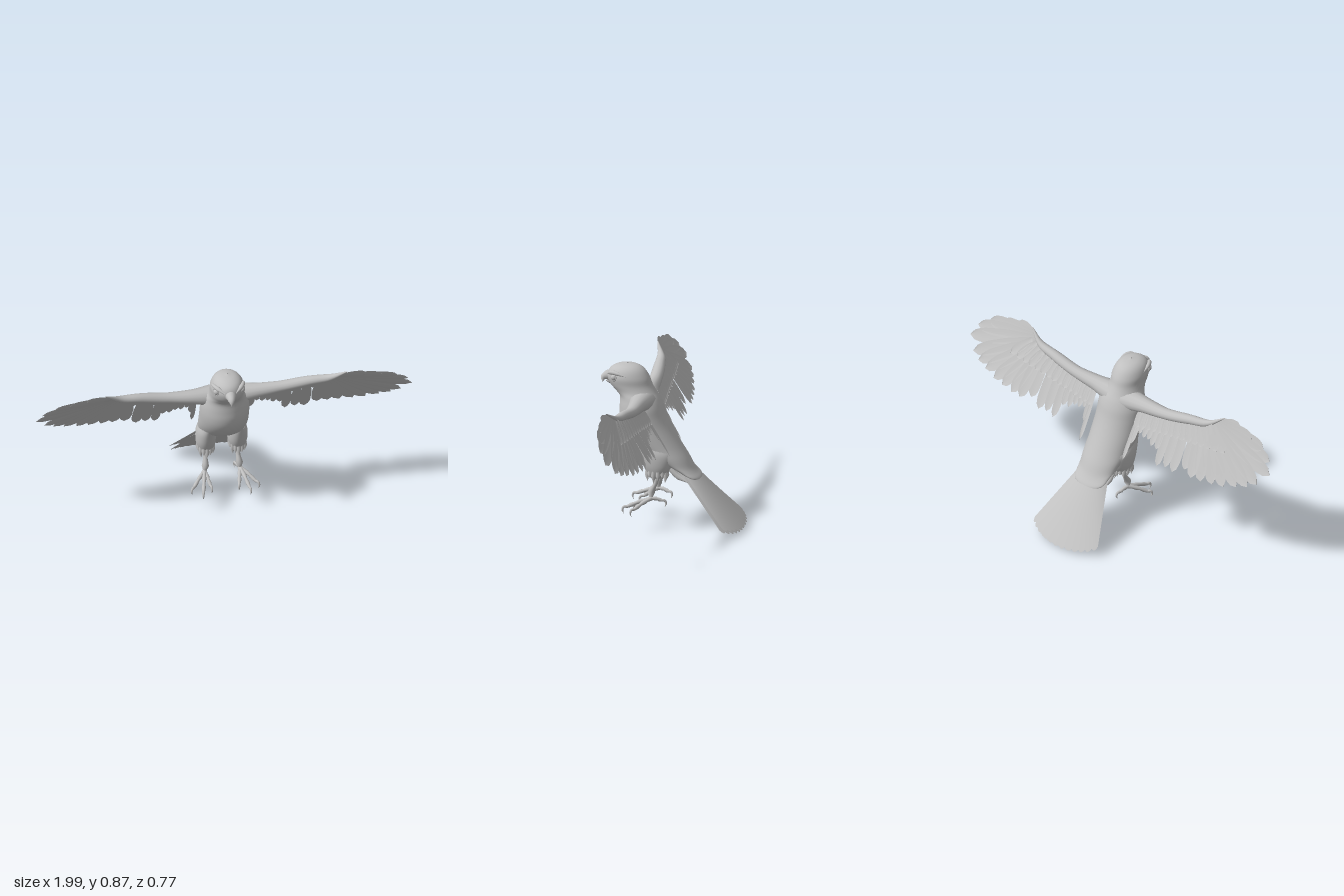
import * as THREE from 'three';

const plumage = new THREE.MeshStandardMaterial({ color: 0xc0c0c0, side: THREE.DoubleSide });
plumage.name = 'plain grey';
const V = (x, y, z) => new THREE.Vector3(x, y, z);

function add(parent, name, geometry) {
  const mesh = new THREE.Mesh(geometry, plumage);
  mesh.name = name;
  parent.add(mesh);
  return mesh;
}

// Grid of points; wrap closes it sideways into a smooth skin
function grid(nu, nv, fn, wrap = false) {
  const pos = [], idx = [], cols = wrap ? nu : nu + 1;
  for (let i = 0; i <= nv; i++)
    for (let j = 0; j < cols; j++) pos.push(...fn(j / nu, i / nv));
  for (let i = 0; i < nv; i++)
    for (let j = 0; j < nu; j++) {
      const k = (j + 1) % cols, a = i * cols + j, b = i * cols + k, c = a + cols, d = b + cols;
      idx.push(a, c, b, b, c, d);
    }
  const g = new THREE.BufferGeometry();
  g.setAttribute('position', new THREE.Float32BufferAttribute(pos, 3));
  g.setIndex(idx);
  g.computeVertexNormals();
  return g;
}

// Skin over oval sections: [frontZ, frontY, backZ, backY, halfWidth]
function loft(sections, cx = 0) {
  const curve = (a, b) => new THREE.CatmullRomCurve3(
    sections.map(s => V(s[4], s[b], s[a])), false, 'catmullrom', 0.5);
  const front = curve(0, 1), back = curve(2, 3);
  return grid(40, sections.length * 4, (u, v) => {
    const f = front.getPoint(v), b = back.getPoint(v), a = u * Math.PI * 2;
    const k = (1 + Math.cos(a)) / 2;
    return [cx + f.x * Math.sin(a), b.y + (f.y - b.y) * k, b.z + (f.z - b.z) * k];
  }, true);
}

// Tube whose radius follows the list; depth stretches it along z
function taper(points, radii, depth = 1, seg = 20, sides = 14) {
  const curve = new THREE.CatmullRomCurve3(points.map(p => V(...p)));
  const g = new THREE.TubeGeometry(curve, seg, 1, sides);
  const pos = g.attributes.position, p = V(0, 0, 0), q = V(0, 0, 0);
  for (let i = 0; i <= seg; i++) {
    curve.getPointAt(i / seg, q);
    const t = i / seg * (radii.length - 1), n = Math.min(Math.floor(t), radii.length - 2);
    const r = THREE.MathUtils.lerp(radii[n], radii[n + 1], t - n);
    for (let j = 0; j <= sides; j++) {
      const id = i * (sides + 1) + j;
      p.fromBufferAttribute(pos, id).sub(q).multiplyScalar(r);
      p.z *= depth;
      p.add(q);
      pos.setXYZ(id, p.x, p.y, p.z);
    }
  }
  return g;
}

// The spread wing leans back as it drops
const wingZ = (x, y) => 0.19 - 0.6 * (0.73 - y) + 0.03 * Math.max(0, x - 0.6) / 0.4;

function feather(s, [rx, ry], [tx, ty], width, layer) {
  const len = Math.hypot(tx - rx, ty - ry), nx = -(ty - ry) / len, ny = (tx - rx) / len;
  return grid(4, 14, (u, v) => {
    const e = u * 2 - 1, end = Math.max(0, (v - 0.72) / 0.28);
    const w = width * Math.min(1, 0.55 + v) * Math.sqrt(Math.max(0, 1 - end * end)) * e;
    const x = rx + (tx - rx) * v + nx * w, y = ry + (ty - ry) * v + ny * w;
    return [s * x, y, wingZ(x, y) + layer - 0.003 * e * e];
  });
}

function makeWing(s) {
  const wing = new THREE.Group();
  wing.name = s > 0 ? 'leftWing' : 'rightWing';
  add(wing, 'wingArm', taper(
    [[s * 0.04, 0.685, 0.155], [s * 0.15, 0.688, 0.16], [s * 0.3, 0.698, 0.16], [s * 0.45, 0.724, 0.172],
      [s * 0.56, 0.742, 0.188], [s * 0.64, 0.79, 0.222]],
    [0.055, 0.036, 0.027, 0.025, 0.019, 0.002], 1.3, 32));

  // Long fingers, from the leading edge round to the wrist
  const primaries = [[0.74, 0.762], [0.83, 0.742], [0.91, 0.725], [0.97, 0.682], [0.997, 0.625], [0.945, 0.566],
    [0.895, 0.54], [0.835, 0.522], [0.765, 0.502], [0.7, 0.494], [0.63, 0.487], [0.57, 0.485]];
  primaries.forEach((tip, i) => {
    const k = i / (primaries.length - 1);
    add(wing, 'primaryFeather', feather(s, [0.63 - 0.1 * k, 0.765 - 0.04 * k], tip, 0.034, -0.0015 * i));
  });

  // Inner flight feathers hanging from the arm
  const secondaries = [[0.51, 0.5, 0.032], [0.445, 0.466, 0.03], [0.395, 0.472, 0.026], [0.345, 0.462, 0.024],
    [0.31, 0.53, 0.02], [0.275, 0.535, 0.018], [0.245, 0.555, 0.016], [0.215, 0.555, 0.016],
    [0.185, 0.565, 0.015], [0.16, 0.51, 0.014], [0.143, 0.425, 0.012]];
  secondaries.forEach(([x, y, w], i) => {
    const rx = x * 0.96 + 0.012;
    add(wing, 'secondaryFeather', feather(s, [rx, 0.69 + 0.1 * Math.max(0, rx - 0.2)], [x, y], w, -0.004 - 0.001 * i));
  });

  // Short coverts over the back of the wing
  for (let i = 0; i < 15; i++) {
    const k = i / 14, x = 0.16 + 0.45 * k, y = 0.69 + 0.06 * k;
    add(wing, 'covertFeather', feather(s, [x, y], [x + 0.1 * k * k, y - 0.1], 0.023, -0.021 - 0.001 * (i % 2)));
  }
  return wing;
}

function makeLeg(s) {
  const leg = new THREE.Group();
  leg.name = s > 0 ? 'leftLeg' : 'rightLeg';
  const cx = s * 0.084;
  add(leg, 'thigh', loft([[0.19, 0.47, 0, 0.44, 0.035], [0.172, 0.42, -0.015, 0.4, 0.05],
    [0.15, 0.36, -0.005, 0.345, 0.052], [0.128, 0.315, 0.015, 0.305, 0.044],
    [0.11, 0.285, 0.03, 0.285, 0.034], [0.085, 0.28, 0.06, 0.28, 0.008]], cx));
  // Ragged feather cuff
  for (let i = 0; i < 14; i++) {
    const a = i / 14 * Math.PI * 2, x = cx + 0.036 * Math.sin(a), z = 0.07 + 0.05 * Math.cos(a);
    add(leg, 'cuffTuft', taper([[x, 0.325, z], [x + 0.004 * Math.sin(a), 0.295, z + 0.004 * Math.cos(a)],
      [x, 0.258 + 0.014 * (i % 3), z]], [0.013, 0.011, 0.0005], 1, 6, 6));
  }
  add(leg, 'shank', taper([[cx, 0.31, 0.065], [s * 0.086, 0.25, 0.078], [s * 0.09, 0.2, 0.1], [s * 0.094, 0.16, 0.1]],
    [0.022, 0.013, 0.012, 0.019, 0.004]));
  // Toes with knuckles, each ending in a hooked claw
  const toes = [[0.165, 0.122, 0.178], [0.122, 0.122, 0.226], [0.076, 0.122, 0.178], [0.08, 0.155, 0.045]];
  toes.forEach(([x, y, z]) => {
    const dx = x - 0.094, dz = z - 0.1, l = Math.hypot(dx, dz), ux = dx / l, uz = dz / l;
    add(leg, 'toe', taper([[s * 0.094, 0.168, 0.1], [s * (0.094 + dx * 0.5), (y + 0.168) / 2 + 0.004, 0.1 + dz * 0.5],
      [s * x, y, z]], [0.013, 0.009, 0.012, 0.008, 0.011, 0.007], 1, 15, 10));
    add(leg, 'claw', taper([[s * (x - ux * 0.006), y + 0.002, z - uz * 0.006], [s * (x + ux * 0.014), y, z + uz * 0.014],
      [s * (x + ux * 0.021), y - 0.016, z + uz * 0.021], [s * (x + ux * 0.014), y - 0.036, z + uz * 0.014]],
    [0.008, 0.007, 0.005, 0.0004], 1, 10, 8));
  });
  return leg;
}

// Rounded fan with a scalloped end and drooping sides
function tailSheet(dy, dz, scale) {
  return grid(72, 16, (u, v) => {
    const e = u * 2 - 1;
    const d = v * (1 - 0.25 * e * e - 0.03 * (1 - Math.abs(Math.sin(u * Math.PI * 12))));
    return [e * scale * (0.1 + 0.15 * d), 0.34 - 0.32 * d - 0.045 * e * e + dy * (0.3 + 0.7 * d), -0.09 - 0.293 * d + dz];
  });
}

export function createModel() {
  const bird = new THREE.Group();
  bird.name = 'birdOfPrey';

  add(bird, 'headAndBody', loft([
    [0.25, 0.873, 0.24, 0.873, 0.002], [0.3, 0.864, 0.19, 0.863, 0.045], [0.337, 0.842, 0.155, 0.84, 0.073],
    [0.352, 0.805, 0.128, 0.8, 0.088], [0.34, 0.765, 0.113, 0.76, 0.088], [0.308, 0.73, 0.094, 0.725, 0.094],
    [0.284, 0.7, 0.073, 0.69, 0.112], [0.285, 0.65, 0.055, 0.65, 0.126], [0.287, 0.6, 0.038, 0.6, 0.13],
    [0.277, 0.55, 0.016, 0.55, 0.13], [0.25, 0.5, -0.013, 0.495, 0.129], [0.205, 0.45, -0.048, 0.435, 0.125],
    [0.14, 0.41, -0.083, 0.378, 0.12], [0.07, 0.37, -0.108, 0.33, 0.11], [0, 0.335, -0.125, 0.305, 0.102],
    [-0.08, 0.288, -0.145, 0.282, 0.09], [-0.13, 0.262, -0.155, 0.265, 0.04]]));

  // Hooked beak
  add(bird, 'upperBeak', taper([[0, 0.796, 0.325], [0, 0.797, 0.352], [0, 0.786, 0.373], [0, 0.757, 0.379]],
    [0.036, 0.027, 0.015, 0.0005]));
  add(bird, 'lowerBeak', taper([[0, 0.77, 0.315], [0, 0.766, 0.345], [0, 0.767, 0.362]], [0.026, 0.014, 0.001]));

  for (const s of [1, -1]) {
    add(bird, 'eye', new THREE.SphereGeometry(0.018, 20, 14)).position.set(s * 0.066, 0.808, 0.303);
    add(bird, 'eyeRim', new THREE.TorusGeometry(0.018, 0.003, 8, 24).rotateY(s * 0.95))
      .position.set(s * 0.071, 0.808, 0.306);
    add(bird, 'brow', taper([[s * 0.03, 0.815, 0.345], [s * 0.062, 0.832, 0.317], [s * 0.077, 0.831, 0.285],
      [s * 0.083, 0.818, 0.24]], [0.003, 0.012, 0.01, 0.001]));
    add(bird, 'nostril', new THREE.TorusGeometry(0.005, 0.002, 8, 14).rotateY(s * 1.1)).position.set(s * 0.022, 0.797, 0.353);
    bird.add(makeWing(s), makeLeg(s));
  }

  add(bird, 'tailTop', tailSheet(0, 0, 1));
  add(bird, 'tailUnderside', tailSheet(-0.018, 0.012, 0.97));
  // Ragged feathers beneath the tail root
  for (let i = -4; i <= 4; i++)
    add(bird, 'underTailTuft', taper([[i * 0.02, 0.33, 0], [i * 0.021, 0.295, -0.04], [i * 0.022, 0.262, -0.1]],
      [0.014, 0.016, 0.0005], 1, 8, 8));
  return bird;
}
